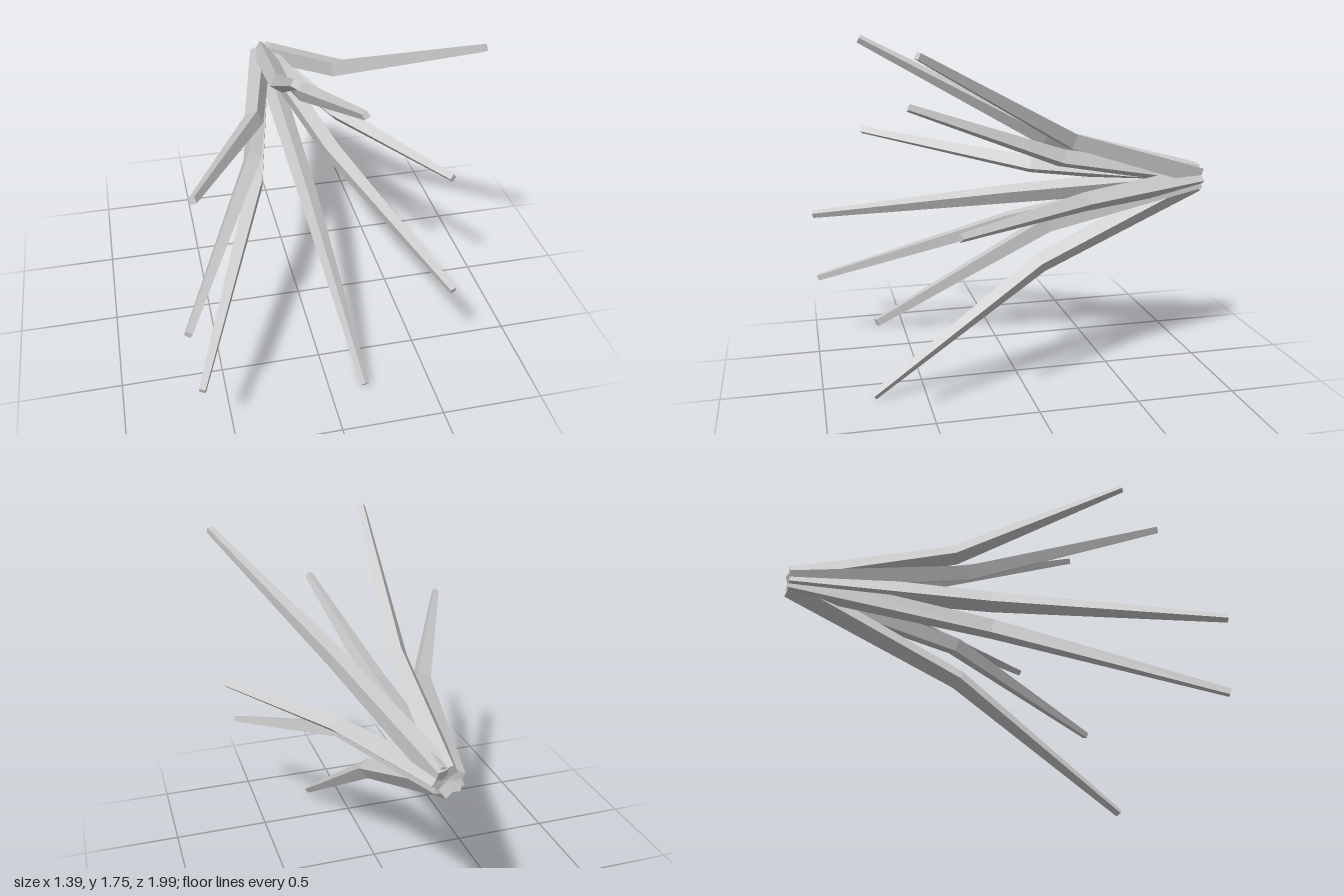
import * as THREE from 'three';

// Each spike: knee and tip centres
const SPIKES = [
  { knee: [-0.06, 1.24, -0.17], tip: [-0.17, 1.735, 0.74] },
  { knee: [0.25, 1.27, -0.21], tip: [0.68, 1.72, 0.57] },
  { knee: [0.07, 1.15, -0.22], tip: [0.18, 1.44, 0.55] },
  { knee: [-0.20, 1.07, -0.13], tip: [-0.60, 1.22, 0.71] },
  { knee: [0.27, 0.97, -0.28], tip: [0.675, 0.945, 0.405] },
  { knee: [-0.23, 0.91, -0.02], tip: [-0.68, 0.745, 0.99] },
  { knee: [0.20, 0.85, -0.10], tip: [0.58, 0.56, 0.765] },
  { knee: [-0.22, 0.77, -0.01], tip: [-0.64, 0.39, 0.98] },
  { knee: [0.07, 0.61, -0.11], tip: [0.175, 0.02, 0.76] },
];
const RADII = [0.062, 0.05, 0.021];

// Four-sided tapering bar through the given points, one corner facing outward
function taperedBar(points, outward, radii) {
  const last = points.length - 1;
  const rings = points.map((p, i) => {
    const dir = points[Math.min(i + 1, last)].clone().sub(points[Math.max(i - 1, 0)]).normalize();
    const side = dir.clone().cross(outward).normalize();
    const up = side.clone().cross(dir);
    return [0, 1, 2, 3].map((k) => {
      const a = (k * Math.PI) / 2;
      return p.clone()
        .addScaledVector(up, Math.cos(a) * radii[i])
        .addScaledVector(side, Math.sin(a) * radii[i]);
    });
  });

  const corners = [];
  const quad = (a, b, c, d) => corners.push(a, b, c, a, c, d);
  for (let i = 0; i < last; i++) {
    for (let k = 0; k < 4; k++) {
      const n = (k + 1) % 4;
      quad(rings[i][k], rings[i][n], rings[i + 1][n], rings[i + 1][k]);
    }
  }
  quad(...rings[0].slice().reverse());
  quad(...rings[last]);

  const geometry = new THREE.BufferGeometry().setFromPoints(corners);
  geometry.computeVertexNormals();
  return geometry;
}

export function createModel() {
  const group = new THREE.Group();
  group.name = 'spikeCluster';
  const material = new THREE.MeshStandardMaterial({ color: 0xcccccc, flatShading: true });

  // Spikes fan forward from a shared root at the back
  SPIKES.forEach(({ knee, tip }, i) => {
    const outward = new THREE.Vector3(tip[0], tip[1] - 1, 0).normalize();
    const root = new THREE.Vector3(0, 1, -0.97).addScaledVector(outward, 0.018);
    const points = [root, new THREE.Vector3(...knee), new THREE.Vector3(...tip)];
    const spike = new THREE.Mesh(taperedBar(points, outward, RADII), material);
    spike.name = `spike${i + 1}`;
    group.add(spike);
  });

  return group;
}
